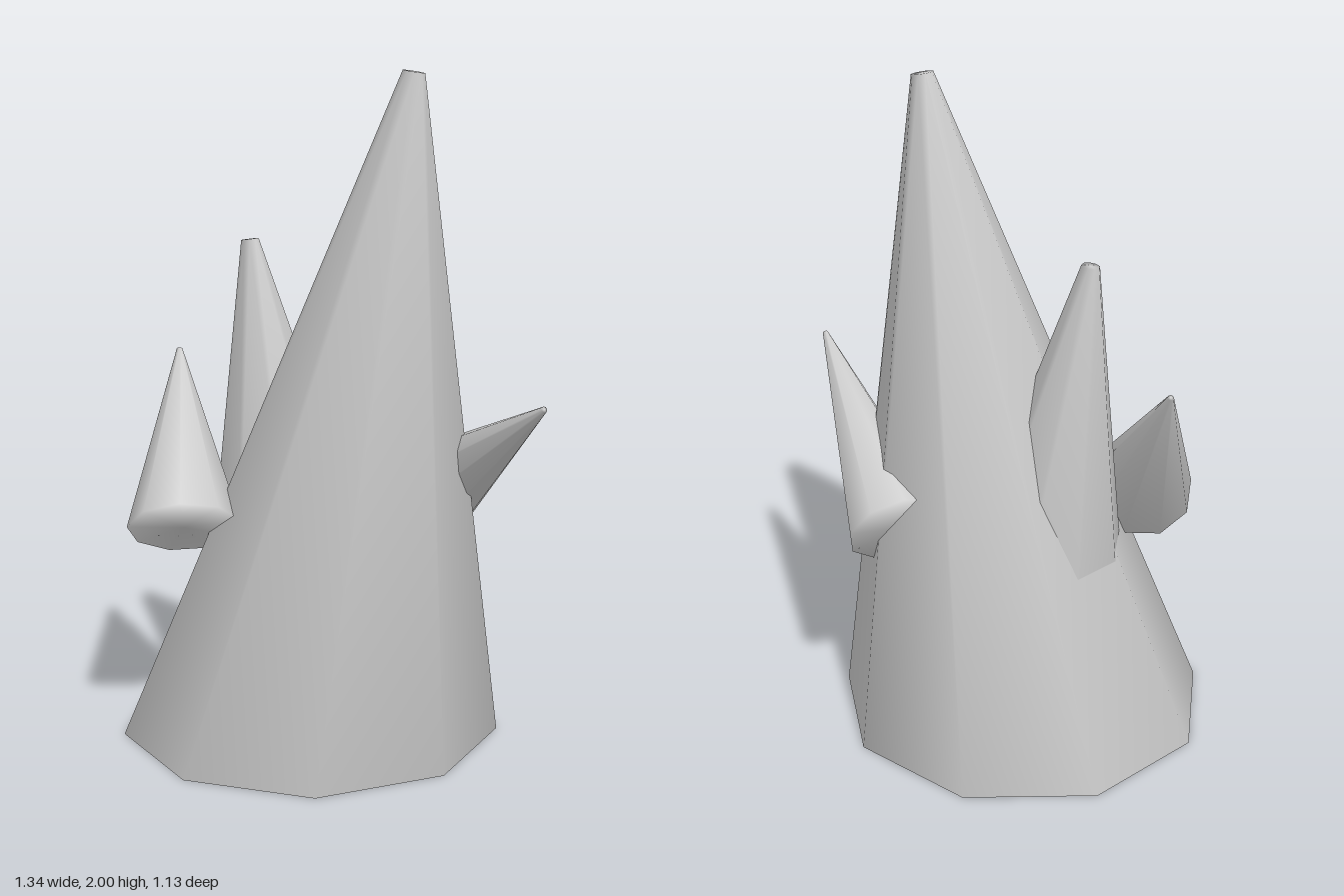
import * as THREE from 'three';
import { mergeVertices } from 'three/addons/utils/BufferGeometryUtils.js';

const SIDES = 9;

// Closed tapered spike from a base centre to a tip centre, smooth over its rims.
// flatBase keeps the bottom rim level instead of square to the axis.
function spike(name, material, base, tip, baseRadius, tipRadius, flatBase = false) {
  const start = new THREE.Vector3(...base);
  const axis = new THREE.Vector3(...tip).sub(start);
  const length = axis.length();
  const turn = new THREE.Quaternion().setFromUnitVectors(
    new THREE.Vector3(0, 1, 0), axis.clone().normalize());

  let geometry = new THREE.CylinderGeometry(tipRadius, baseRadius, length, SIDES, 1, false, Math.PI);
  geometry.translate(0, length / 2, 0);
  geometry.deleteAttribute('normal');
  geometry.deleteAttribute('uv');

  const position = geometry.attributes.position;
  const v = new THREE.Vector3();
  for (let i = 0; i < position.count; i++) {
    v.fromBufferAttribute(position, i);
    if (!flatBase || v.y > length / 2) v.applyQuaternion(turn);
    v.add(start);
    position.setXYZ(i, v.x, v.y, v.z);
  }

  // Shared corners give soft shading across sides and caps
  geometry = mergeVertices(geometry, 1e-4);
  geometry.computeVertexNormals();
  const mesh = new THREE.Mesh(geometry, material);
  mesh.name = name;
  return mesh;
}

export function createModel() {
  const group = new THREE.Group();
  group.name = 'spikeCluster';
  const stone = new THREE.MeshStandardMaterial({ color: 0xcccccc });
  stone.name = 'pale grey stone';

  group.add(
    // Large leaning body
    spike('mainSpike', stone, [-0.1, 0, 0.017], [0.23, 1.993, 0.058], 0.583, 0.033, true),
    // Upright spike growing out of the right side
    spike('uprightSpike', stone, [-0.12, 0.08, -0.01], [-0.305, 1.5, -0.03], 0.35, 0.027),
    // Small spike at the front right corner, its underside exposed
    spike('frontSpike', stone, [-0.4, 0.668, 0.29], [-0.56, 1.145, -0.066], 0.17, 0.009),
    // Slender spike slanting forward from the back left
    spike('slantedSpike', stone, [0.21, 0.69, -0.26], [0.66, 1.08, 0.25], 0.155, 0.009),
  );
  return group;
}
